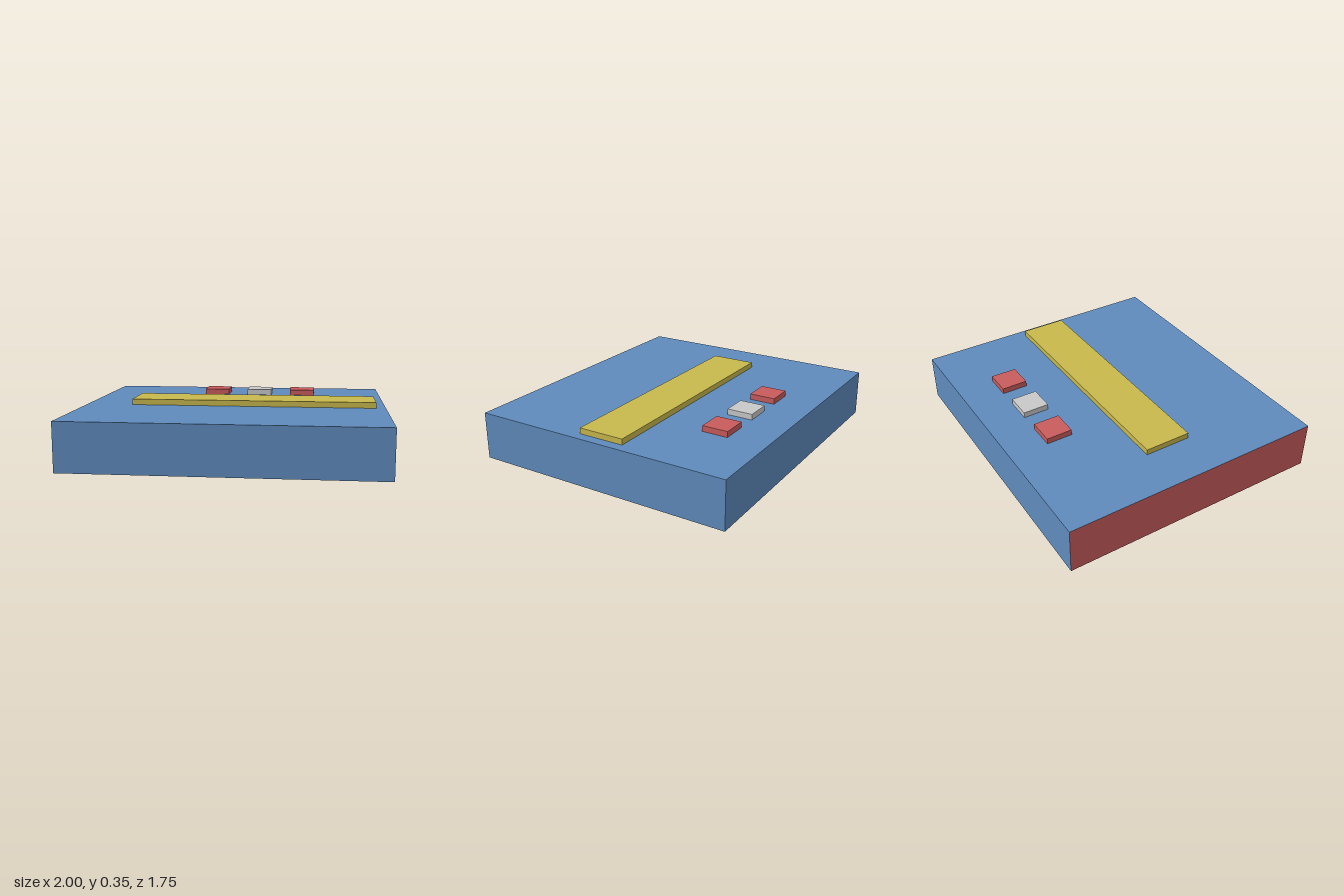
import * as THREE from 'three';

const mat = (name, color) => {
  const m = new THREE.MeshStandardMaterial({ color });
  m.name = name;
  return m;
};

export function createModel() {
  const blue = mat('blue', 0x5f8bbd);
  const red = mat('red', 0xc95c5c);
  const yellow = mat('yellow', 0xc8b84c);
  const grey = mat('lightGrey', 0xc9c9c9);

  const model = new THREE.Group();
  model.name = 'slabWithPads';

  // Box given by its extents on each axis
  const block = (name, material, [x0, x1], [y0, y1], [z0, z1]) => {
    const mesh = new THREE.Mesh(new THREE.BoxGeometry(x1 - x0, y1 - y0, z1 - z0), material);
    mesh.position.set((x0 + x1) / 2, (y0 + y1) / 2, (z0 + z1) / 2);
    mesh.name = name;
    model.add(mesh);
  };

  // Base slab: blue, with a red end on the -x side (faces: +x -x +y -y +z -z)
  const top = 0.313;
  block('base', [blue, red, blue, blue, blue, blue], [-1, 1], [0, top], [-0.875, 0.875]);

  // Long raised bar
  const raised = [top, 0.351];
  block('bar', yellow, [-0.69, 0.936], raised, [-0.156, 0.153]);

  // Row of three square pads
  [['leftPad', red, 0.435], ['middlePad', grey, 0.123], ['rightPad', red, -0.19]].forEach(
    ([name, material, x]) => block(name, material, [x - 0.0875, x + 0.0875], raised, [-0.62, -0.447])
  );

  return model;
}
